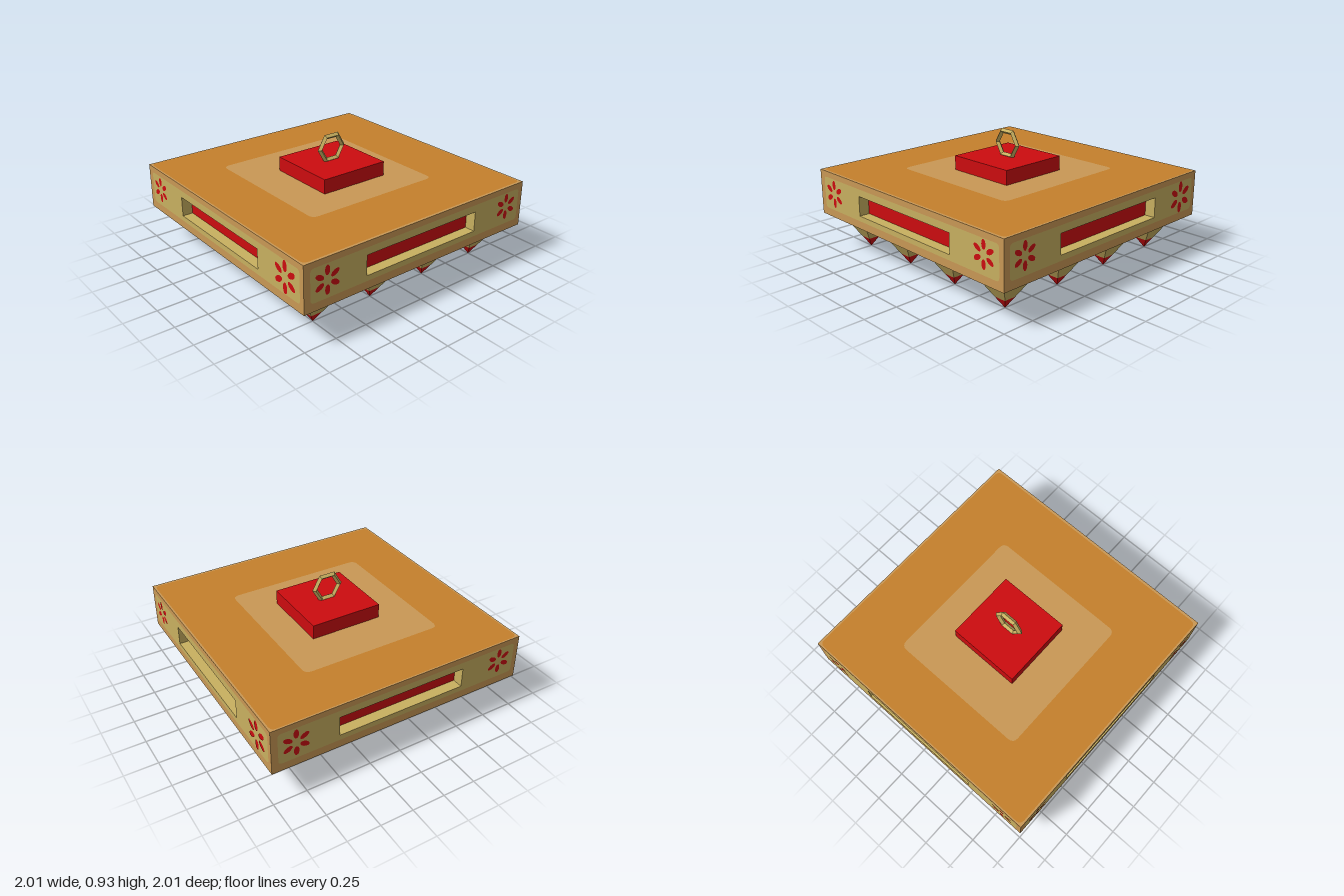
import * as THREE from 'three';

const mat = (name, color, extra = {}) => {
  const m = new THREE.MeshStandardMaterial({ color, ...extra });
  m.name = name;
  return m;
};

// Path helper: rectangle with optional rounded corners
function rect(target, x0, y0, x1, y1, r = 0) {
  if (!r) {
    target.moveTo(x0, y0).lineTo(x1, y0).lineTo(x1, y1).lineTo(x0, y1).closePath();
    return target;
  }
  target.moveTo(x0 + r, y0).lineTo(x1 - r, y0).quadraticCurveTo(x1, y0, x1, y0 + r);
  target.lineTo(x1, y1 - r).quadraticCurveTo(x1, y1, x1 - r, y1);
  target.lineTo(x0 + r, y1).quadraticCurveTo(x0, y1, x0, y1 - r);
  target.lineTo(x0, y0 + r).quadraticCurveTo(x0, y0, x0 + r, y0);
  return target;
}

// Flat face: an outer rectangle with an optional rectangular hole
function face(outer, hole) {
  const s = rect(new THREE.Shape(), ...outer);
  if (hole) s.holes.push(rect(new THREE.Path(), ...hole));
  return new THREE.ShapeGeometry(s, 4);
}

function flower(cx, cy, r) {
  const petals = [];
  for (let i = 0; i < 6; i++) {
    const a = Math.PI / 2 + (i * Math.PI) / 3;
    const s = new THREE.Shape();
    s.absellipse(cx + Math.cos(a) * r * 0.66, cy + Math.sin(a) * r * 0.66, r * 0.35, r * 0.19, 0, Math.PI * 2, false, a);
    petals.push(s);
  }
  return new THREE.ShapeGeometry(petals, 6);
}

export function createModel() {
  const red = mat('red paint', 0xcc0c0f);
  const straw = mat('straw', 0xc8b060);
  const tan = mat('tan border', 0xc99855);
  const brown = mat('orange brown', 0xc5802c);
  const strawFlat = straw;

  const model = new THREE.Group();
  model.name = 'spikedBlock';
  const add = (parent, name, geo, m, x = 0, y = 0, z = 0) => {
    const mesh = new THREE.Mesh(geo, m);
    mesh.name = name;
    mesh.position.set(x, y, z);
    parent.add(mesh);
    return mesh;
  };

  const y0 = 0.27, y1 = 0.62;
  const slot = [-0.5, 0.37, 0.5, 0.52], depth = 0.08;
  const slotY = (slot[1] + slot[3]) / 2, slotH = slot[3] - slot[1];

  // Four painted sides, each with a recessed slot and two flowers
  const flowers = [
    [[-0.82, 0.46, 0.105], [0.825, 0.47, 0.1]],
    [[-0.825, 0.465, 0.1], [0.81, 0.455, 0.12]],
  ];
  for (let i = 0; i < 4; i++) {
    const side = new THREE.Group();
    side.name = ['frontSide', 'leftSide', 'backSide', 'rightSide'][i];
    side.rotation.y = (i * Math.PI) / 2;
    model.add(side);
    const panel = [-0.95, 0.33, 0.96, 0.575, 0.03];
    add(side, 'border', face([-1, y0, 1, y1], panel), tan, 0, 0, 1);
    add(side, 'panel', face(panel, slot), straw, 0, 0, 1);
    add(side, 'slotBack', new THREE.PlaneGeometry(1, slotH), red, 0, slotY, 1 - depth);
    for (const s of [-1, 1]) {
      add(side, 'slotEnd', new THREE.PlaneGeometry(depth, slotH), straw, s * 0.5, slotY, 1 - depth / 2)
        .rotation.y = (-s * Math.PI) / 2;
      add(side, 'slotEdge', new THREE.PlaneGeometry(1, depth), straw, 0, slotY + (s * slotH) / 2, 1 - depth / 2)
        .rotation.x = (s * Math.PI) / 2;
    }
    for (const f of flowers[i % 2]) add(side, 'flower', flower(...f), red, 0, 0, 1.003);
  }

  // Top: thin tan rim, brown field and a pale square
  const top = new THREE.Group();
  top.name = 'top';
  top.rotation.x = -Math.PI / 2;
  top.position.y = y1;
  model.add(top);
  const field = [-0.985, -0.98, 0.985, 0.988, 0.04];
  const square = [-0.575, -0.53, 0.525, 0.6, 0.05];
  add(top, 'rim', face([-1, -1, 1, 1], field), tan);
  add(top, 'field', face(field, square), brown);
  add(top, 'paleSquare', face(square), tan);

  // Underside
  add(model, 'underside', new THREE.PlaneGeometry(2, 2), strawFlat, 0, y0, 0).rotation.x = Math.PI / 2;

  // Grid of downward spikes with red tips
  const base = 0.16 * Math.SQRT2, tipH = 0.08, tipR = (base * tipH) / y0;
  const cone = (rTop, rBottom, h) =>
    new THREE.CylinderGeometry(rTop, rBottom, h, 4, 1, true).rotateY(Math.PI / 4).toNonIndexed();
  const bodyGeo = cone(base, tipR, y0 - tipH);
  const tipGeo = cone(tipR, 0, tipH);
  bodyGeo.computeVertexNormals();
  tipGeo.computeVertexNormals();
  for (let i = 0; i < 4; i++) {
    for (let j = 0; j < 4; j++) {
      const spike = new THREE.Group();
      spike.name = 'spike';
      spike.position.set(-0.75 + i * 0.5, 0, -0.75 + j * 0.5);
      add(spike, 'spikeBody', bodyGeo, straw, 0, (y0 + tipH) / 2, 0);
      add(spike, 'spikeTip', tipGeo, red, 0, tipH / 2, 0);
      model.add(spike);
    }
  }

  // Red mount and hexagonal ring
  add(model, 'mount', new THREE.BoxGeometry(0.555, 0.11, 0.555), red, 0, 0.675, 0);
  const ring = new THREE.TorusGeometry(0.104, 0.021, 4, 6).toNonIndexed();
  ring.computeVertexNormals();
  add(model, 'hangingRing', ring, straw, 0, 0.825, 0);

  return model;
}
